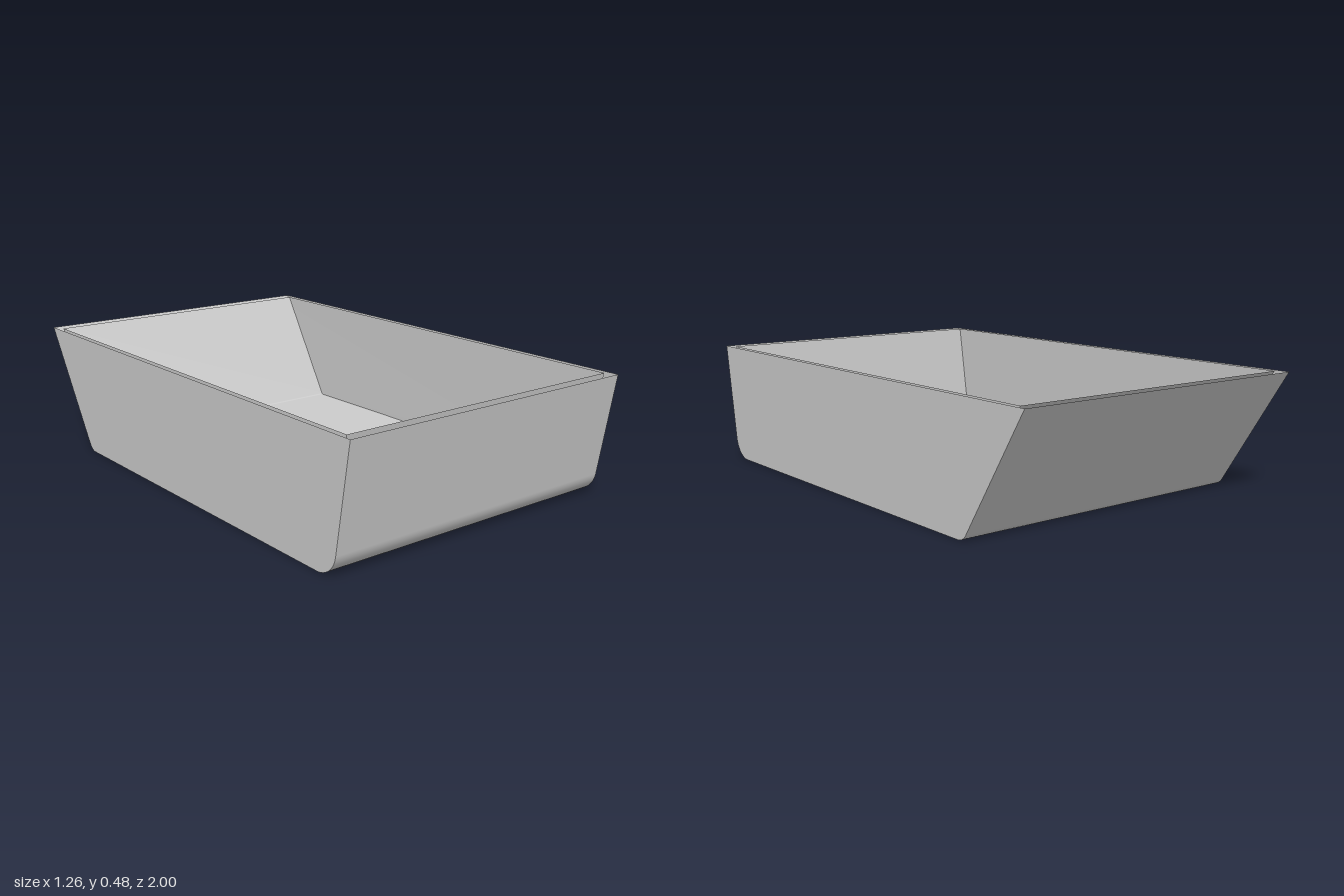
import * as THREE from 'three';

const TOP = 1.545, CENTRE_X = 0.0625;
const FRONT_ANGLE = -9.3 * Math.PI / 180;   // outward direction of the front wall
const BACK_ANGLE = -147.5 * Math.PI / 180;  // outward direction of the back wall

// Side profile, front rim to back rim: points { z, y } with outward normals { nz, ny }
function makeProfile(front, back) {
  const points = [];
  const arc = ({ z, y, r }, from, to, steps) => {
    for (let i = 0; i <= steps; i++) {
      const a = from + (to - from) * i / steps;
      const nz = Math.cos(a), ny = Math.sin(a);
      points.push({ z: z + r * nz, y: y + r * ny, nz, ny });
    }
  };
  arc(front, FRONT_ANGLE, -Math.PI / 2, 12);
  arc(back, -Math.PI / 2, BACK_ANGLE, 8);
  // Straight walls run tangent from each fillet up to the rim
  const rim = (p) => ({ ...p, y: TOP, z: p.z - (TOP - p.y) * p.ny / p.nz });
  return [rim(points[0]), ...points, rim(points[points.length - 1])];
}

// Front wall, floor and back wall as one smooth sheet
function sheetGeometry(profile, halfWidth, facing) {
  const pos = [], nor = [], index = [];
  profile.forEach((p, i) => {
    for (const s of [-1, 1]) {
      pos.push(CENTRE_X + s * halfWidth(p.y, p.z), p.y, p.z);
      nor.push(0, p.ny * facing, p.nz * facing);
    }
    if (i === 0) return;
    const a = 2 * i - 2, b = a + 1, c = a + 2, d = a + 3;
    if (facing > 0) index.push(a, c, b, b, c, d);
    else index.push(a, b, c, b, d, c);
  });
  const g = new THREE.BufferGeometry();
  g.setAttribute('position', new THREE.Float32BufferAttribute(pos, 3));
  g.setAttribute('normal', new THREE.Float32BufferAttribute(nor, 3));
  g.setIndex(index);
  return g;
}

// Side wall filling the profile outline
function sideGeometry(profile, halfWidth, side, facing) {
  const g = new THREE.ShapeGeometry(new THREE.Shape(profile.map((p) => new THREE.Vector2(p.z, p.y))));
  const pos = g.attributes.position;
  for (let i = 0; i < pos.count; i++) {
    const z = pos.getX(i), y = pos.getY(i);
    pos.setXYZ(i, CENTRE_X + side * halfWidth(y, z), y, z);
  }
  // Mapped triangles face -x, so flip those that should face +x
  if (side * facing > 0) {
    const idx = g.index;
    for (let i = 0; i < idx.count; i += 3) {
      const t = idx.getX(i);
      idx.setX(i, idx.getX(i + 1));
      idx.setX(i + 1, t);
    }
  }
  g.computeVertexNormals();
  return g;
}

function makeShell(name, profile, halfWidth, facing, material) {
  const shell = new THREE.Group();
  shell.name = name;
  const add = (part, geometry) => {
    const mesh = new THREE.Mesh(geometry, material);
    mesh.name = part;
    shell.add(mesh);
  };
  add(name + 'FloorAndEnds', sheetGeometry(profile, halfWidth, facing));
  add(name + 'LeftSide', sideGeometry(profile, halfWidth, 1, facing));
  add(name + 'RightSide', sideGeometry(profile, halfWidth, -1, facing));
  return shell;
}

export function createModel() {
  const model = new THREE.Group();
  model.name = 'openTray';
  const grey = new THREE.MeshStandardMaterial({ color: 0xcccccc, side: THREE.DoubleSide });
  grey.name = 'light grey';

  // Outer shell
  const outer = makeProfile({ z: 0.84, y: 1.163, r: 0.096 }, { z: -0.67, y: 1.117, r: 0.05 });
  model.add(makeShell('outerShell', outer, () => 0.628, 1, grey));

  // Inner liner, narrowing slightly towards the back of the floor
  const inner = makeProfile({ z: 0.84, y: 1.163, r: 0.052 }, { z: -0.673, y: 1.121, r: 0.01 });
  const innerHalf = (y, z) => 0.605 - 0.012 * ((TOP - y) / 0.434) * (0.55 - 0.45 * z);
  model.add(makeShell('innerLiner', inner, innerHalf, -1, grey));

  return model;
}
